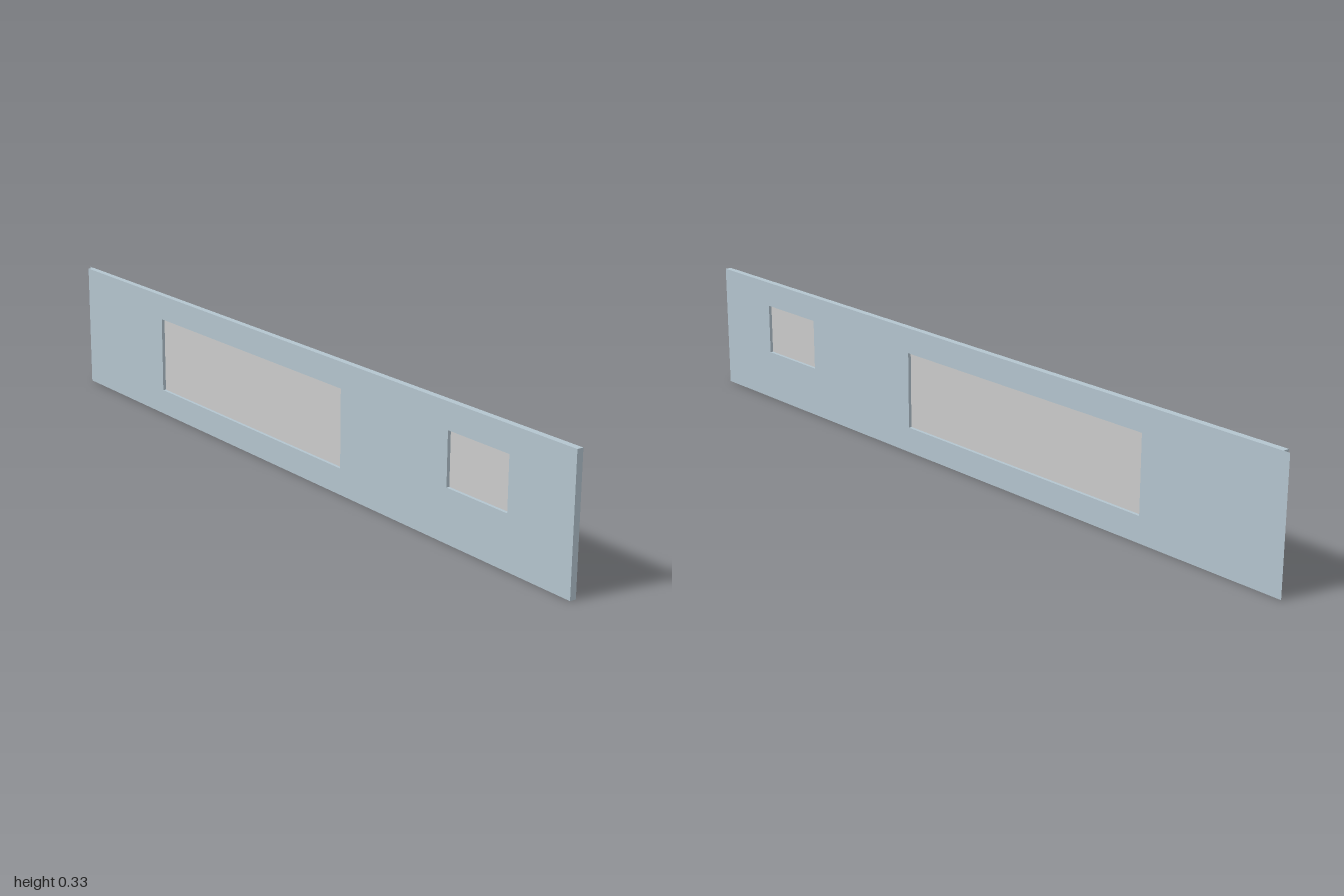
import * as THREE from 'three';

const T = 0.0167;     // wall thickness
const H = 0.333;      // wall height
const LAP = 0.0167;   // thin outer skin running past the back end

// Openings, measured along the wall from its middle towards the back
const windows = [
  { name: 'smallWindow', u0: -0.80, u1: -0.60, y0: 0.133, y1: 0.267 },
  { name: 'largeWindow', u0: -0.21, u1: 0.59, y0: 0.067, y1: 0.267 },
];

function rectangle(target, u0, u1, y0, y1) {
  target.moveTo(u0, y0);
  target.lineTo(u1, y0);
  target.lineTo(u1, y1);
  target.lineTo(u0, y1);
  target.closePath();
  return target;
}

export function createModel() {
  const model = new THREE.Group();
  model.name = 'wallPanel';
  const wallMaterial = new THREE.MeshStandardMaterial({ color: 0xb3c4ce, side: THREE.DoubleSide });
  const paneMaterial = new THREE.MeshStandardMaterial({ color: 0xcccccc, side: THREE.DoubleSide });

  // Flat sheet in the plane of the wall at a given depth
  function sheet(name, u0, u1, y0, y1, depth, material) {
    const mesh = new THREE.Mesh(new THREE.PlaneGeometry(u1 - u0, y1 - y0), material);
    mesh.position.set((u0 + u1) / 2, (y0 + y1) / 2, depth);
    mesh.name = name;
    return mesh;
  }

  // Drawn facing local +z, then turned so the face looks along +x
  const panel = new THREE.Group();
  panel.name = 'panel';
  panel.rotation.y = Math.PI / 2;
  model.add(panel);

  // Wall slab with window openings
  const outline = rectangle(new THREE.Shape(), -1, 1 - LAP, 0, H);
  for (const w of windows) outline.holes.push(rectangle(new THREE.Path(), w.u0, w.u1, w.y0, w.y1));
  const slab = new THREE.ExtrudeGeometry(outline, { depth: T, bevelEnabled: false });
  slab.translate(0, 0, -T / 2);
  const wall = new THREE.Mesh(slab, wallMaterial);
  wall.name = 'wall';
  panel.add(wall);

  // Outer skin overlapping the corner at the back end
  panel.add(sheet('cornerLap', 1 - LAP, 1, 0, H, T / 2, wallMaterial));

  // Panes set in the middle of the wall
  for (const w of windows) {
    panel.add(sheet(w.name + 'Pane', w.u0, w.u1, w.y0, w.y1, 0, paneMaterial));
  }
  return model;
}
